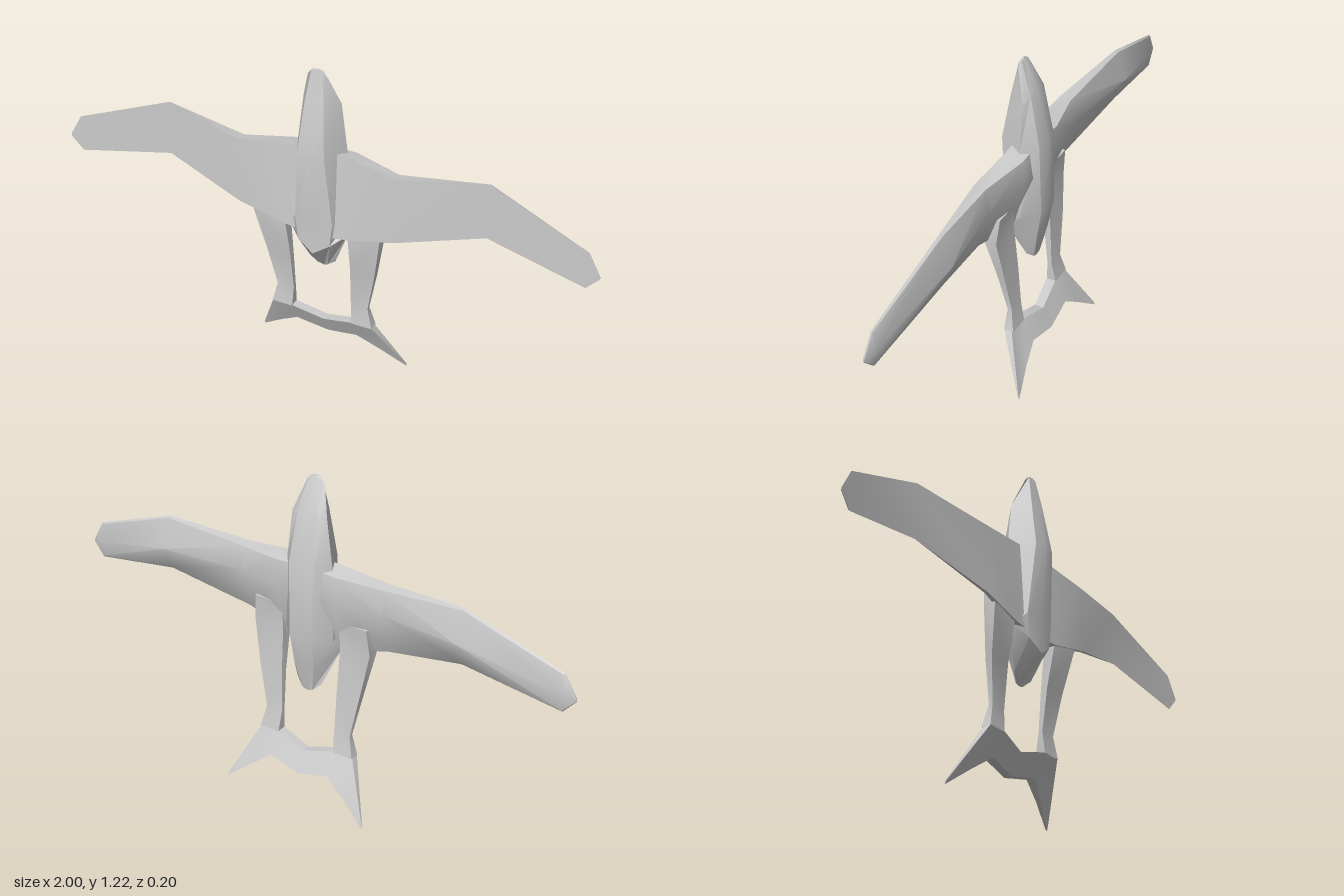
import * as THREE from 'three';
import { toCreasedNormals } from 'three/addons/utils/BufferGeometryUtils.js';

const material = new THREE.MeshStandardMaterial({ color: 0xcccccc });

// Skins closed cross-sections (arrays of [x, y, z]) and caps both ends, facing outward.
function loft(name, rings, crease = 0.5) {
  const n = rings[0].length;
  const pos = rings.flat(2);
  const index = [];
  for (let r = 0; r < rings.length - 1; r++) {
    for (let i = 0; i < n; i++) {
      const a = r * n + i, b = r * n + (i + 1) % n;
      index.push(a, b, b + n, a, b + n, a + n);
    }
  }
  const last = (rings.length - 1) * n;
  for (let i = 1; i < n - 1; i++) {
    index.push(0, i + 1, i, last, last + i, last + i + 1);
  }
  // The sign of the enclosed volume tells whether the winding must be flipped
  let volume = 0;
  const p = (i) => new THREE.Vector3().fromArray(pos, i * 3);
  for (let i = 0; i < index.length; i += 3) {
    volume += p(index[i]).dot(p(index[i + 1]).cross(p(index[i + 2])));
  }
  if (volume < 0) index.reverse();
  const geometry = new THREE.BufferGeometry();
  geometry.setAttribute('position', new THREE.Float32BufferAttribute(pos, 3));
  geometry.setIndex(index);
  const mesh = new THREE.Mesh(toCreasedNormals(geometry, crease), material);
  mesh.name = name;
  return mesh;
}

const flipX = (rings) => rings.map((ring) => ring.map(([x, y, z]) => [-x, y, z]));

export function createModel() {
  const model = new THREE.Group();
  model.name = 'aircraft';

  // Fuselage half-rings from back centre round the side to front centre, nose to tail
  const halves = [
    [[0, 1.22, 0.033], [0.02, 1.215, 0.032], [0.036, 1.195, 0.035], [0.02, 1.215, 0.042], [0, 1.22, 0.042]],
    [[0, 1.12, -0.015], [0.04, 1.11, -0.012], [0.07, 1.09, 0], [0.035, 1.1, 0.063], [0, 1.1, 0.064]],
    [[0, 0.92, -0.058], [0.05, 0.92, -0.05], [0.092, 0.92, 0], [0.05, 0.92, 0.092], [0, 0.92, 0.102]],
    [[0, 0.65, -0.063], [0.045, 0.65, -0.055], [0.1, 0.64, 0], [0.07, 0.65, 0.07], [0, 0.65, 0.08]],
    [[0, 0.52, -0.037], [0.04, 0.53, -0.035], [0.112, 0.6, 0.035], [0.06, 0.56, 0.069], [0, 0.52, 0.08]],
    [[0, 0.42, -0.014], [0.02, 0.425, -0.014], [0.05, 0.452, 0], [0.02, 0.43, 0], [0, 0.42, -0.006]],
  ];
  const bodyRings = halves.map((half) => [
    ...half,
    ...half.slice(1, -1).reverse().map(([x, y, z]) => [-x, y, z]),
  ]);
  model.add(loft('fuselage', bodyRings, 0.45));

  // Wing sections: x, then [y, z] of leading front, leading back, ridge, trailing back, trailing front
  const wing = [
    [0.05, [0.92, 0.04], [0.905, -0.025], [0.8, -0.035], [0.59, 0.03], [0.59, 0.062]],
    [0.12, [0.915, 0.04], [0.9, -0.025], [0.8, -0.035], [0.6, 0.03], [0.6, 0.06]],
    [0.29, [0.89, 0.058], [0.885, 0.015], [0.8, 0], [0.64, 0.048], [0.64, 0.06]],
    [0.6, [0.925, 0], [0.92, -0.012], [0.81, -0.044], [0.725, -0.008], [0.718, 0]],
    [0.955, [0.79, 0.028], [0.785, 0.023], [0.72, 0.012], [0.655, 0.023], [0.65, 0.028]],
    [1, [0.71, 0.032], [0.708, 0.029], [0.705, 0.028], [0.702, 0.029], [0.7, 0.032]],
  ].map(([x, ...yz]) => yz.map(([y, z]) => [x, y, z]));

  // Tail boom sections: y, inner x, outer x, back z, front z
  const boom = [
    [0.72, 0.118, 0.23, 0, 0.045],
    [0.62, 0.12, 0.24, 0.01, 0.055],
    [0.45, 0.117, 0.21, -0.004, 0.022],
    [0.29, 0.113, 0.178, -0.012, 0.004],
    [0.21, 0.118, 0.197, -0.027, 0.01],
  ].map(([y, xi, xo, zb, zf]) => [[xi, y, zb], [xo, y, zb], [xo, y, zf], [xi, y, zf]]);

  for (const [side, place] of [['left', (r) => r], ['right', flipX]]) {
    model.add(loft(side + 'Wing', place(wing), 0.6));
    model.add(loft(side + 'TailBoom', place(boom)));
  }

  // Swept tailplane with drooping tips, sections from the middle outward: x, top y, z pair, bottom y, z pair
  const tailHalf = [
    [0, 0.18, -0.006, -0.04, 0.102, -0.047, -0.074],
    [0.12, 0.213, 0.01, -0.025, 0.13, -0.032, -0.067],
    [0.195, 0.213, 0.01, -0.02, 0.075, -0.062, -0.08],
    [0.29, 0.012, -0.096, -0.1, 0, -0.1, -0.103],
  ].map(([x, yt, ft, bt, yb, fb, bb]) => [[x, yt, ft], [x, yt, bt], [x, yb, bb], [x, yb, fb]]);
  model.add(loft('tailplane', [...flipX(tailHalf.slice(1)).reverse(), ...tailHalf]));

  return model;
}
